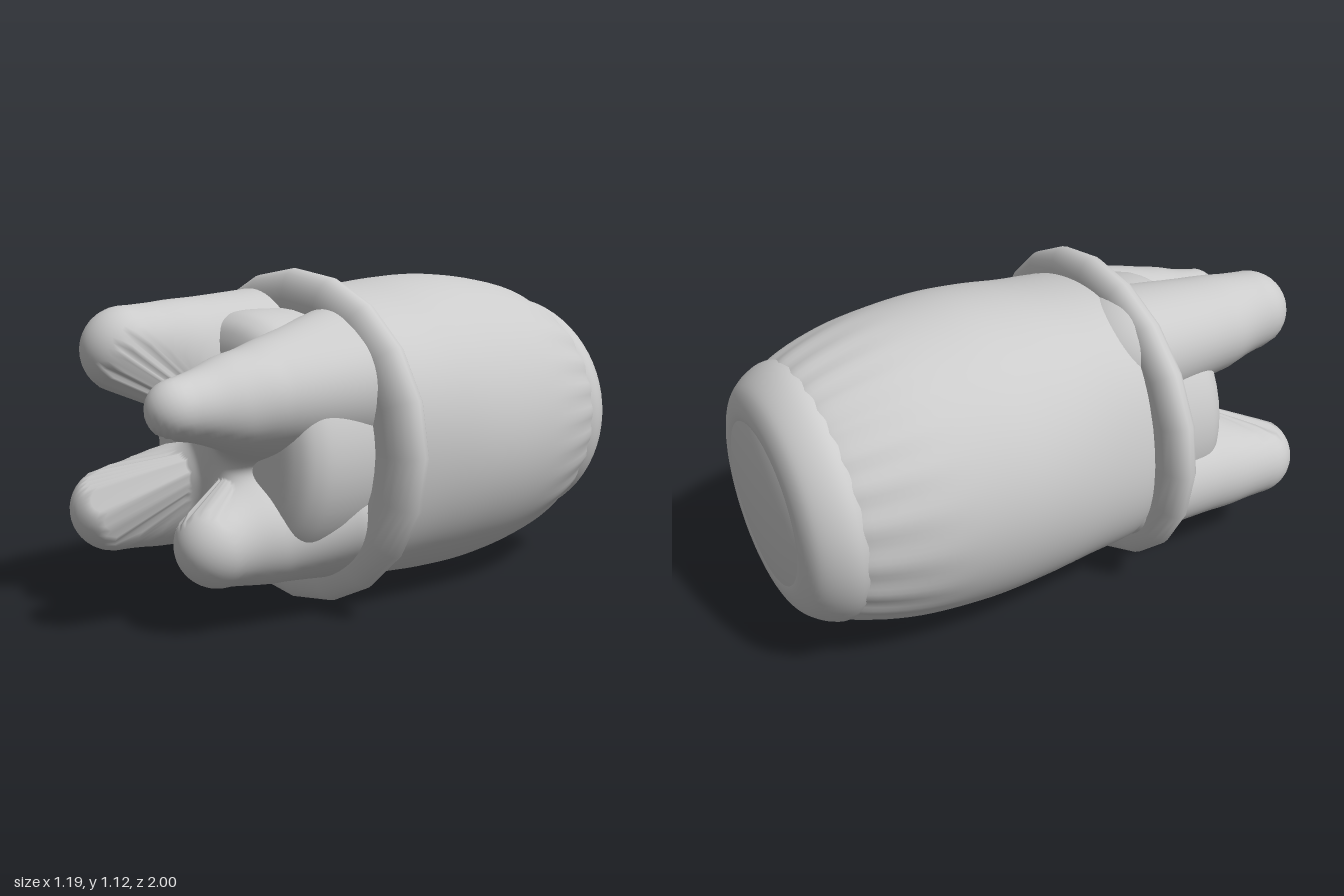
import * as THREE from 'three';
import { mergeVertices } from 'three/addons/utils/BufferGeometryUtils.js';

const AXIS_Y = 0.56;
const material = new THREE.MeshStandardMaterial({ color: 0xcccccc, side: THREE.DoubleSide });

// Tapered limbs: [start, start radius, end, end radius]
const roots = [
  [[-0.15, 0.83, 0.28], 0.22, [-0.2, 0.87, 0.79], 0.14],
  [[0.2, 0.74, 0.28], 0.24, [0.24, 0.74, 0.91], 0.09],
  [[-0.27, 0.38, 0.28], 0.2, [-0.33, 0.34, 0.77], 0.14],
  [[0.14, 0.33, 0.28], 0.22, [0.13, 0.29, 0.69], 0.135],
];
// Ridges running from the middle out to each root
const ridges = roots.map(([a, , b]) => [
  [0, AXIS_Y, 0.43], 0.13,
  a.map((v, i) => THREE.MathUtils.lerp(v, b[i], 0.65)), 0.12,
]);
// Skirts widening the foot of the roots, and the web between the lower two
const skirts = [
  [[0.3, 0.77, 0.28], 0.14, [0.27, 0.76, 0.6], 0.1],
  [[0.2, 0.86, 0.28], 0.13, [0.22, 0.8, 0.55], 0.1],
  [[0.26, 0.35, 0.28], 0.15, [0.18, 0.31, 0.5], 0.12],
  [[-0.07, 0.32, 0.26], 0.2, [-0.07, 0.36, 0.42], 0.14],
  [[-0.23, 0.87, 0.28], 0.15, [-0.24, 0.86, 0.6], 0.11],
  [[0, AXIS_Y, 0.2], 0.22, [0, AXIS_Y, 0.44], 0.14],
];
const limbs = [...roots, ...ridges, ...skirts].map(([a, ra, b, rb]) => {
  const start = new THREE.Vector3(...a);
  return { start, dir: new THREE.Vector3(...b).sub(start), ra, rb };
});

const rel = new THREE.Vector3();
function limbDistance(p, { start, dir, ra, rb }) {
  rel.copy(p).sub(start);
  const t = THREE.MathUtils.clamp(rel.dot(dir) / dir.lengthSq(), 0, 1);
  return rel.addScaledVector(dir, -t).length() - THREE.MathUtils.lerp(ra, rb, t);
}

// Smoothly blended distance to all limbs
function rootDistance(p) {
  const k = 0.07;
  let d = 1;
  for (const limb of limbs) {
    const e = limbDistance(p, limb);
    const h = Math.max(k - Math.abs(d - e), 0) / k;
    d = Math.min(d, e) - h * h * k * 0.25;
  }
  return d;
}

// Shared vertices give smooth normals across the seam
function welded(geometry) {
  geometry.deleteAttribute('uv');
  geometry.deleteAttribute('normal');
  return mergeVertices(geometry, 1e-5);
}

// A sphere shrunk along its rays onto the blended limbs
function rootsGeometry() {
  const geo = welded(new THREE.SphereGeometry(1, 144, 120).rotateX(Math.PI / 2));
  const centre = new THREE.Vector3(0, AXIS_Y, 0.42);
  const pos = geo.attributes.position;
  const ray = new THREE.Vector3(), p = new THREE.Vector3();
  const at = (r) => rootDistance(p.copy(centre).addScaledVector(ray, r));
  for (let i = 0; i < pos.count; i++) {
    ray.fromBufferAttribute(pos, i).normalize();
    let lo = 0.9;
    while (lo > 0.05 && at(lo) > 0) lo -= 0.01;
    let hi = lo + 0.01;
    for (let n = 0; n < 8; n++) {
      const mid = (lo + hi) / 2;
      if (at(mid) > 0) hi = mid; else lo = mid;
    }
    at(lo);
    pos.setXYZ(i, p.x, p.y, p.z);
  }
  geo.computeVertexNormals();
  return geo;
}

// Turned shape about the long axis from smooth [radius, z] points
function turned(points, segments, samples) {
  const curve = new THREE.SplineCurve(points.map(([r, z]) => new THREE.Vector2(r, z)));
  return new THREE.LatheGeometry(curve.getPoints(samples), segments).rotateX(Math.PI / 2);
}

// Crown: barrel with pleats at the back and broad lobes toward the roots
function crownGeometry() {
  const geo = welded(turned([[0.36, -0.9], [0.435, -0.81], [0.5, -0.6], [0.527, -0.35], [0.522, -0.15],
    [0.505, 0.02], [0.492, 0.18], [0.47, 0.27], [0.38, 0.3]], 128, 48));
  const pos = geo.attributes.position;
  for (let i = 0; i < pos.count; i++) {
    const x = pos.getX(i), y = pos.getY(i), z = pos.getZ(i);
    const a = Math.atan2(y, x);
    const pleat = 0.009 * (1 - THREE.MathUtils.smoothstep(z, -0.85, -0.45));
    const lobe = 0.025 * THREE.MathUtils.smoothstep(z, -0.3, 0.2);
    const s = 1 + pleat * Math.sin(a * 26 + 2 * Math.sin(a * 3)) + lobe * Math.cos(a * 4 - 2.34);
    pos.setXY(i, x * s, y * s);
  }
  geo.computeVertexNormals();
  return geo;
}

// Collar: twenty-sided ring with a flat oval section
function collarGeometry() {
  const section = [];
  for (let i = 0; i <= 20; i++) {
    const t = -Math.PI + (i / 20) * Math.PI * 2;
    section.push(new THREE.Vector2(0.49 + 0.105 * Math.cos(t), 0.06 * Math.sin(t)));
  }
  return new THREE.LatheGeometry(section, 20).rotateX(Math.PI / 2).scale(1, 0.937, 1);
}

export function createModel() {
  const model = new THREE.Group();
  model.name = 'tooth';
  const add = (name, geometry, y = AXIS_Y, z = 0) => {
    const mesh = new THREE.Mesh(geometry, material);
    mesh.name = name;
    mesh.position.set(0, y, z);
    model.add(mesh);
    return mesh;
  };

  add('crown', crownGeometry());
  add('roots', rootsGeometry(), 0);

  // Rounded core showing in the gaps between the roots
  add('core', turned([[0.42, 0.1], [0.43, 0.3], [0.43, 0.45], [0.41, 0.52], [0.36, 0.56],
    [0.26, 0.575], [0.001, 0.575]], 48, 40));

  add('collar', collarGeometry(), AXIS_Y + 0.002, 0.26);

  // Rounded rim and domed end of the crown
  const rim = add('rim', turned([[0.2, -0.93], [0.26, -0.965], [0.31, -0.97], [0.375, -0.945],
    [0.422, -0.89], [0.441, -0.83], [0.42, -0.77]], 64, 32));
  rim.scale.y = 0.97;
  const end = add('endCap', new THREE.SphereGeometry(1, 48, 32), AXIS_Y, -0.9);
  end.scale.set(0.38, 0.38, 0.1);

  return model;
}
